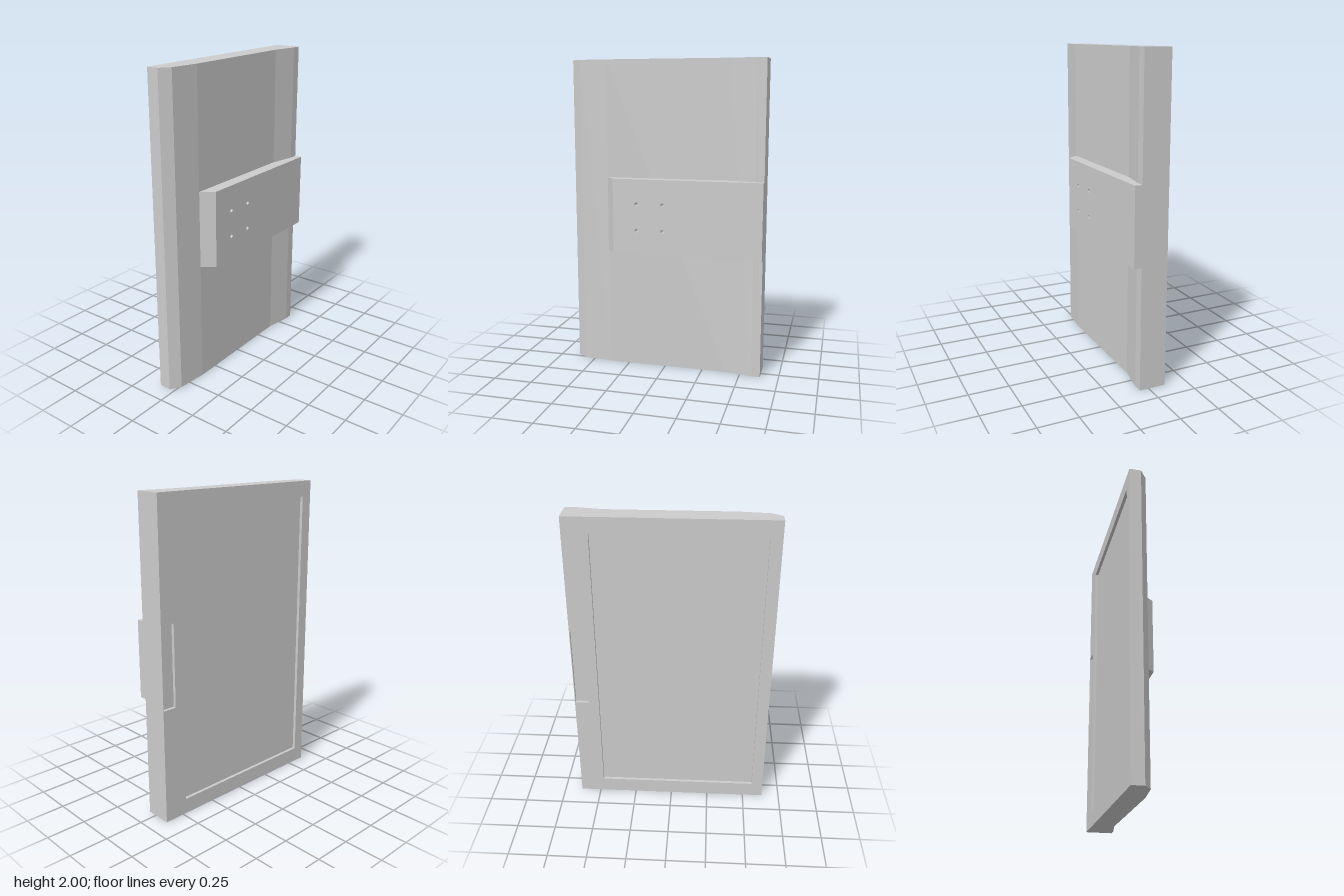
import * as THREE from 'three';

const END = 0.633;    // half length along z
const BACK = -0.11;   // flat display face
const RECESS = 0.02;  // depth of the pockets in that face

const material = new THREE.MeshStandardMaterial({ color: 0xcccccc, flatShading: true });

function rectPoints(z0, z1, y0, y1) {
  return [[z0, y0], [z1, y0], [z1, y1], [z0, y1]].map(p => new THREE.Vector2(...p));
}

// Extrudes a (z, y) shape along x, from xMax down by depth.
function extrudeAlongX(shape, xMax, depth) {
  const geo = new THREE.ExtrudeGeometry(shape, { depth, bevelEnabled: false, curveSegments: 10 });
  return geo.rotateY(-Math.PI / 2).translate(xMax, 0, 0);
}

function addPart(group, name, geometry) {
  const mesh = new THREE.Mesh(geometry, material);
  mesh.name = name;
  group.add(mesh);
}

export function createModel() {
  const group = new THREE.Group();
  group.name = 'wallPanel';

  // Body: contoured (x, z) section extruded upwards
  const section = [
    [BACK + RECESS, -END], [0.06, -END], [0.06, -0.575], [0.03, -0.405],
    [0.03, 0.385], [0.01, 0.57], [-0.035, END], [BACK + RECESS, END],
  ].map(([x, z]) => new THREE.Vector2(x, -z));
  const body = new THREE.ExtrudeGeometry(new THREE.Shape(section), { depth: 2, bevelEnabled: false });
  addPart(group, 'body', body.rotateX(-Math.PI / 2));

  // Bezel: frames the sunken display and the small side pocket
  const bezel = new THREE.Shape(rectPoints(-END, END, 0, 2));
  bezel.holes.push(
    new THREE.Path(rectPoints(-0.475, 0.56, 0.1, 1.9)),
    new THREE.Path(rectPoints(-0.628, -0.54, 0.74, 1.26)),
  );
  addPart(group, 'bezel', extrudeAlongX(bezel, BACK + RECESS, RECESS));

  // Mounting block with four screw holes
  const plate = new THREE.Shape(rectPoints(-END, 0.325, 0.77, 1.255));
  for (const z of [0, 0.17]) {
    for (const y of [0.925, 1.095]) {
      plate.holes.push(new THREE.Path().absarc(z, y, 0.012, 0, Math.PI * 2, true));
    }
  }
  const block = extrudeAlongX(plate, 0.107, 0.077);
  // Slope the front end outwards towards the body
  const pos = block.attributes.position;
  for (let i = 0; i < pos.count; i++) {
    if (pos.getZ(i) > 0.32 && pos.getX(i) < 0.05) pos.setZ(i, 0.385);
  }
  block.computeVertexNormals();
  addPart(group, 'mountingBlock', block);

  return group;
}
